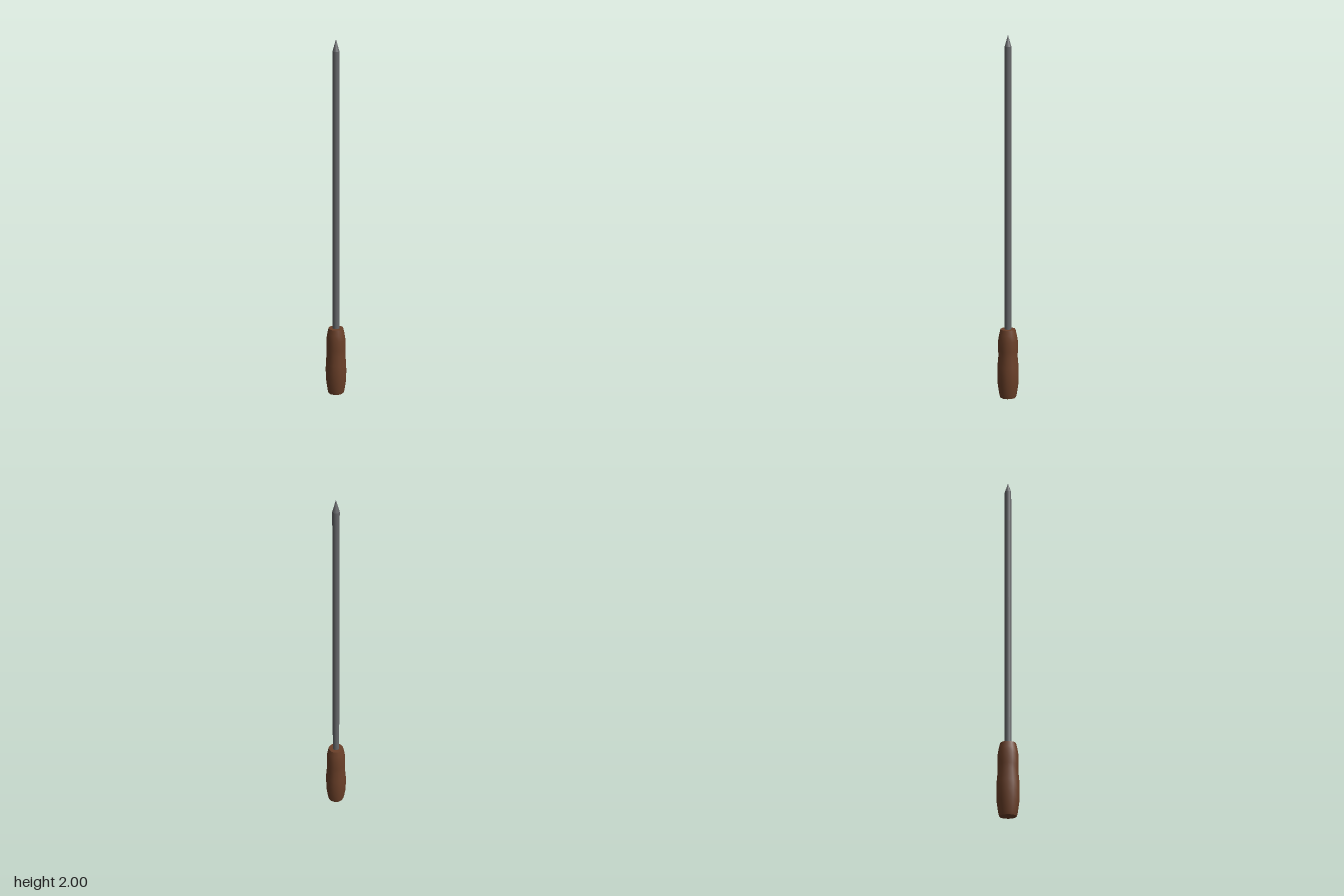
import * as THREE from 'three';

const SIDES = 12;

export function createModel() {
  const model = new THREE.Group();
  const wood = new THREE.MeshStandardMaterial({ color: 0x6b4029 });
  const steel = new THREE.MeshStandardMaterial({ color: 0x66676a });

  const add = (parent, name, geometry, material, y = 0) => {
    const mesh = new THREE.Mesh(geometry, material);
    mesh.name = name;
    mesh.position.y = y;
    parent.add(mesh);
    return mesh;
  };

  // Turned wooden handle: waisted grip with flat ends
  const handle = new THREE.Group();
  handle.name = 'handle';
  model.add(handle);
  const profile = [
    [0.045, 0], [0.05, 0.02], [0.058, 0.075], [0.06, 0.13], [0.059, 0.18],
    [0.054, 0.235], [0.055, 0.27], [0.055, 0.325], [0.049, 0.36], [0.042, 0.39],
  ].map(([r, y]) => new THREE.Vector2(r, y));
  add(handle, 'grip', new THREE.LatheGeometry(profile, SIDES), wood);
  add(handle, 'buttCap', new THREE.CircleGeometry(0.045, SIDES).rotateX(Math.PI / 2), wood);
  add(handle, 'collarCap', new THREE.CircleGeometry(0.042, SIDES).rotateX(-Math.PI / 2), wood, 0.39);

  // Straight round shaft, seated slightly in the handle, with a conical point
  const r = 0.019, base = 0.36, shoulder = 1.935;
  add(model, 'shaft', new THREE.CylinderGeometry(r, r, shoulder - base, SIDES, 1, true),
    steel, (base + shoulder) / 2);
  add(model, 'point', new THREE.ConeGeometry(r, 2 - shoulder, SIDES, 1, true),
    steel, (2 + shoulder) / 2);

  return model;
}
